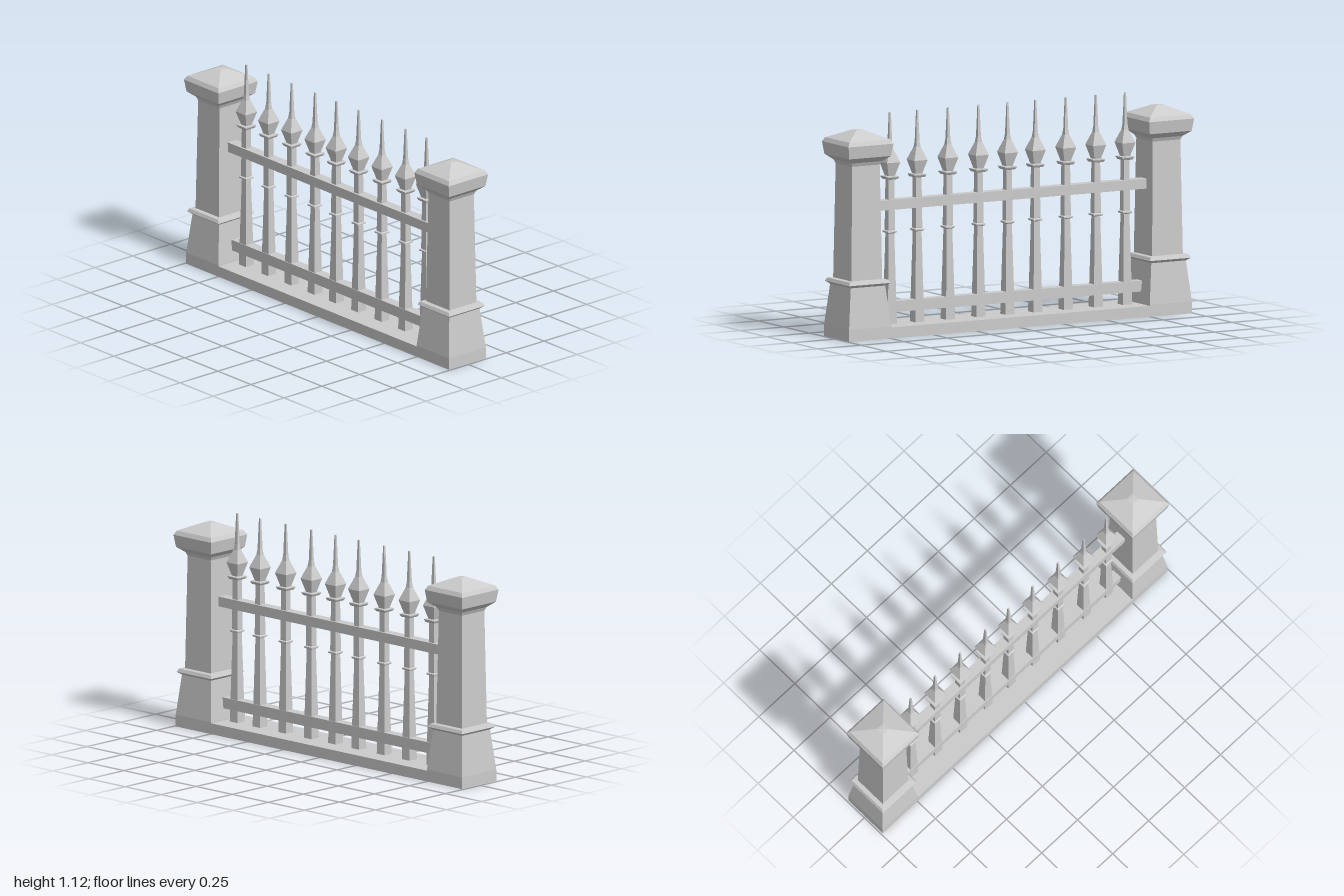
import * as THREE from 'three';

const material = new THREE.MeshStandardMaterial({
  color: 0xcccccc, flatShading: true, side: THREE.DoubleSide,
});

// Square-section solid from [half width, height] pairs, bottom to top
function squareProfile(name, pairs) {
  const points = pairs.map(([half, y]) => new THREE.Vector2(half * Math.SQRT2, y));
  const geometry = new THREE.LatheGeometry(points, 4, Math.PI / 4).toNonIndexed();
  geometry.computeVertexNormals();
  const mesh = new THREE.Mesh(geometry, material);
  mesh.name = name;
  return mesh;
}

// Stone pillar, open underneath
function createPillar(name, x) {
  const pillar = new THREE.Group();
  pillar.name = name;
  pillar.add(
    squareProfile('pillarFoot', [[0.122, 0], [0.122, 0.06], [0.1, 0.265]]),
    squareProfile('pillarTrim', [[0.1, 0.265], [0.119, 0.279], [0.111, 0.295], [0.089, 0.298]]),
    squareProfile('pillarShaft', [[0.089, 0.298], [0.08, 0.872]]),
    squareProfile('pillarCap', [
      [0.08, 0.872], [0.088, 0.89], [0.121, 0.917], [0.13, 0.979],
      [0.118, 1.0], [0.022, 1.043], [0, 1.046],
    ]),
  );
  pillar.position.x = x;
  return pillar;
}

// Tapered bar with two collars and a spear point
function createBar(x) {
  const bar = new THREE.Group();
  bar.name = 'fenceBar';
  bar.add(
    squareProfile('barShaft', [[0.027, 0.03], [0.016, 0.515], [0.019, 0.53], [0.016, 0.785]]),
    squareProfile('middleCollar', [[0.016, 0.51], [0.026, 0.515], [0.026, 0.522], [0.017, 0.527]]),
    squareProfile('upperCollar', [[0.016, 0.78], [0.028, 0.783], [0.034, 0.793], [0.034, 0.798], [0.016, 0.8]]),
    squareProfile('spearPoint', [
      [0.018, 0.797], [0.038, 0.868], [0.013, 0.932], [0.009, 0.962],
      [0.004, 1.117], [0, 1.12],
    ]),
  );
  bar.position.x = x;
  return bar;
}

function createRail(name, length, bottom, top) {
  const rail = new THREE.Mesh(new THREE.BoxGeometry(length, top - bottom, 0.054), material);
  rail.name = name;
  rail.position.y = (bottom + top) / 2;
  return rail;
}

export function createModel() {
  const fence = new THREE.Group();
  fence.name = 'fenceSection';

  fence.add(createPillar('leftPillar', 0.87), createPillar('rightPillar', -0.87));

  // Hollow plinth between the pillars
  const plinth = squareProfile('plinth', [[1, 0], [1, 0.055], [0, 0.055]]);
  plinth.scale.set(0.75, 1, 0.122);
  fence.add(plinth);

  fence.add(createRail('lowerRail', 1.53, 0.115, 0.17));
  fence.add(createRail('upperRail', 1.59, 0.63, 0.68));

  // Slightly uneven bar spacing
  const barPositions = [-0.677, -0.508, -0.334, -0.158, 0.003, 0.171, 0.348, 0.526, 0.684];
  for (const x of barPositions) fence.add(createBar(x));

  return fence;
}
